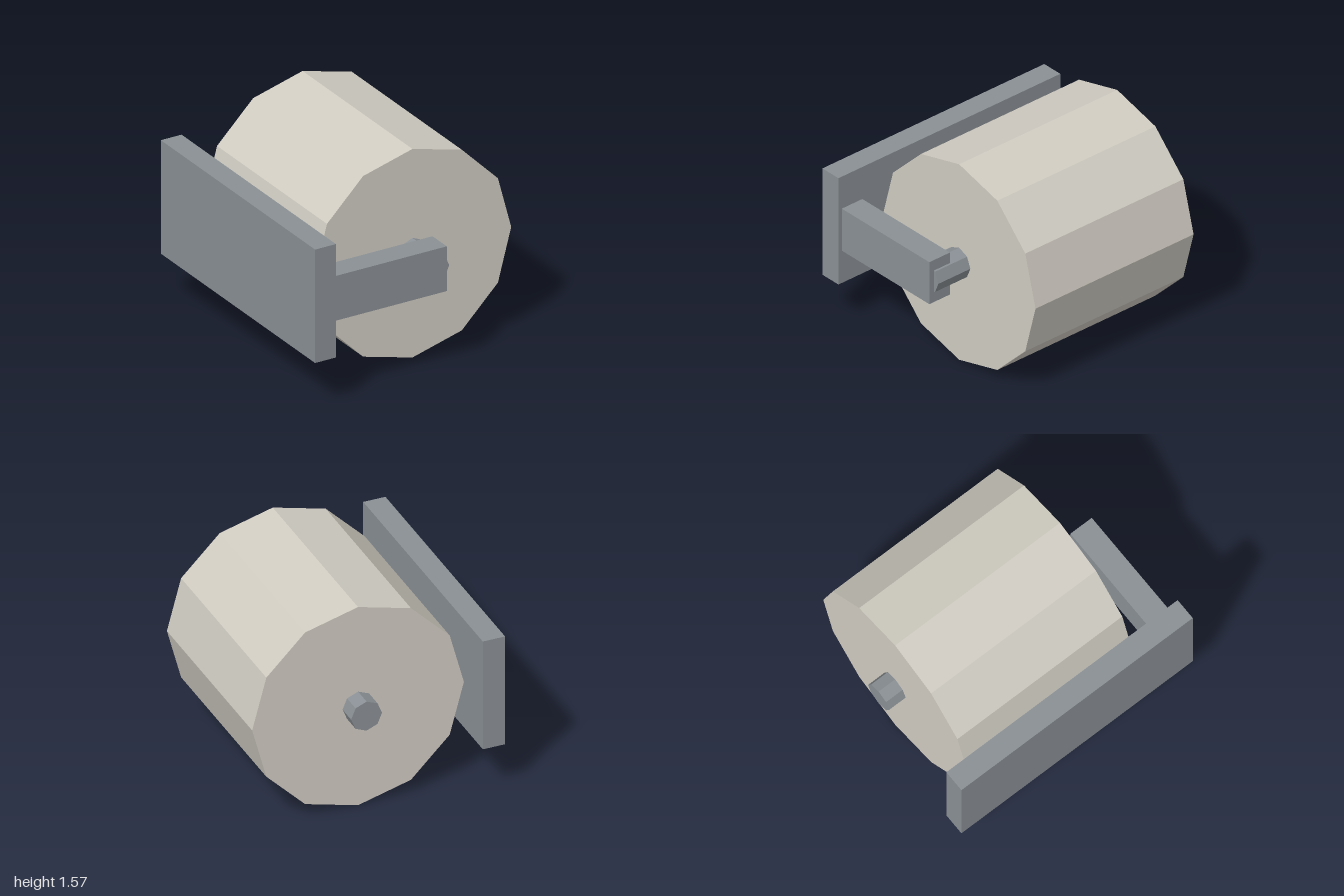
import * as THREE from 'three';

const paper = new THREE.MeshStandardMaterial({ name: 'warm paper', color: 0xd0ccc2, flatShading: true });
const metal = new THREE.MeshStandardMaterial({ name: 'grey metal', color: 0x8a9095, flatShading: true });

// Box given by its minimum and maximum corners
function block(name, min, max) {
  const size = max.map((v, i) => v - min[i]);
  const mesh = new THREE.Mesh(new THREE.BoxGeometry(...size), metal);
  mesh.name = name;
  mesh.position.set(...min.map((v, i) => (v + max[i]) / 2));
  return mesh;
}

// Faceted cylinder lying along z on the shared axle line
function drum(name, radius, sides, z0, z1, material) {
  const geometry = new THREE.CylinderGeometry(radius, radius, z1 - z0, sides);
  geometry.rotateX(Math.PI / 2);
  const mesh = new THREE.Mesh(geometry, material);
  mesh.name = name;
  mesh.position.set(0.105, 0.787, (z0 + z1) / 2);
  return mesh;
}

export function createModel() {
  const group = new THREE.Group();
  group.name = 'paperRollHolder';
  group.add(
    block('wallPlate', [-0.89, 0.36, -1], [-0.725, 1.214, 1]),
    block('arm', [-0.725, 0.62, 0.785], [0.175, 0.957, 0.97]),
    drum('rod', 0.115, 8, -0.928, 0.928, metal),
    drum('paperRoll', 0.785, 12, -0.785, 0.64, paper),
  );
  return group;
}
